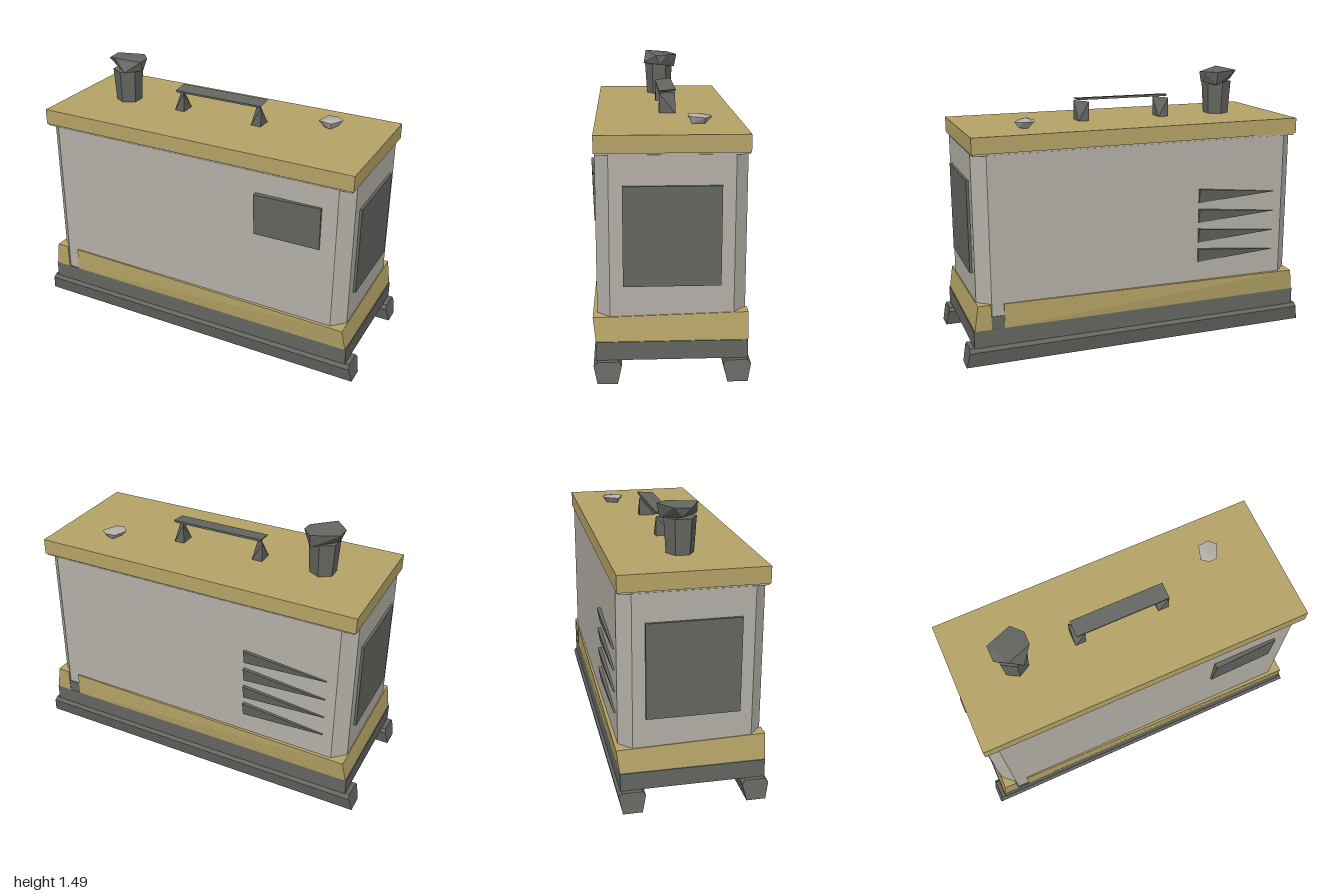
import * as THREE from 'three';
import { ConvexGeometry } from 'three/addons/geometries/ConvexGeometry.js';

const material = (name, color) => {
  const m = new THREE.MeshStandardMaterial({ color });
  m.name = name;
  return m;
};

export function createModel() {
  const grey = material('lightGrey', 0xb4b0a8);
  const gold = material('ochre', 0xb5a366);
  const dark = material('darkGrey', 0x646661);
  const model = new THREE.Group();

  const add = (name, geometry, mat, parent = model) => {
    const mesh = new THREE.Mesh(geometry, mat);
    mesh.name = name;
    parent.add(mesh);
    return mesh;
  };
  // Box from its minimum and maximum corners
  const box = (name, mat, a, b) => {
    const mesh = add(name, new THREE.BoxGeometry(b[0] - a[0], b[1] - a[1], b[2] - a[2]), mat);
    mesh.position.set((a[0] + b[0]) / 2, (a[1] + b[1]) / 2, (a[2] + b[2]) / 2);
    return mesh;
  };
  // Faceted solid around a few corner points
  const hull = (name, mat, points, parent) =>
    add(name, new ConvexGeometry(points.map((p) => new THREE.Vector3(...p))), mat, parent);

  // Skids: hexagonal bars with raked ends
  const skidSection = [[0.37, 0], [0.27, 0], [0.25, 0.085], [0.265, 0.105], [0.37, 0.105], [0.388, 0.085]];
  for (const s of [1, -1]) {
    const points = [];
    for (const [z, y] of skidSection)
      for (const e of [1, -1]) points.push([e * (1 - y * 0.2), y, s * z]);
    hull(s > 0 ? 'frontSkid' : 'backSkid', dark, points);
  }

  // Base slab
  box('base', dark, [-0.955, 0.105, -0.375], [0.955, 0.2, 0.375]);

  // Housing with chamfered upright corners
  const outline = [[0.925, 0.305], [0.855, 0.37], [-0.855, 0.37], [-0.925, 0.305],
    [-0.925, -0.305], [-0.855, -0.37], [0.855, -0.37], [0.925, -0.305]];
  const shape = new THREE.Shape(outline.map(([x, z]) => new THREE.Vector2(x, z)));
  const housing = new THREE.ExtrudeGeometry(shape, { depth: 0.93, bevelEnabled: false });
  housing.rotateX(-Math.PI / 2);
  add('housing', housing, grey).position.y = 0.2;
  box('housingLip', grey, [-0.922, 1.128, -0.368], [0.922, 1.14, 0.368]);

  // Lid
  box('lid', gold, [-0.93, 1.138, -0.375], [0.93, 1.225, 0.375]);

  // Skirt: a long wall and an end wall, repeated by a half turn
  for (const turn of [0, Math.PI]) {
    const skirt = new THREE.Group();
    skirt.name = turn ? 'backSkirt' : 'frontSkirt';
    skirt.rotation.y = turn;
    hull('longSkirt', gold, [
      [-0.79, 0.2, 0.376], [0.95, 0.2, 0.376], [0.93, 0.32, 0.39], [-0.79, 0.335, 0.377],
      [-0.79, 0.2, 0.34], [0.93, 0.2, 0.34], [0.93, 0.32, 0.34], [-0.79, 0.335, 0.34],
    ], skirt);
    hull('endSkirt', gold, [
      [0.95, 0.2, 0.376], [0.95, 0.2, -0.376], [0.93, 0.32, 0.39], [0.93, 0.338, -0.378],
      [0.86, 0.2, 0.376], [0.86, 0.2, -0.376], [0.86, 0.32, 0.386], [0.86, 0.338, -0.378],
    ], skirt);
    model.add(skirt);
  }
  box('skirtGapPlate', dark, [0.78, 0.2, -0.374], [0.87, 0.27, -0.366]);

  // End grilles
  for (const s of [1, -1]) {
    const grille = box(s > 0 ? 'leftGrille' : 'rightGrille', dark, [-0.008, 0.48, -0.24], [0.008, 0.98, 0.24]);
    grille.position.x = s * 0.931;
  }

  // Control panel, leaning out at one corner
  hull('controlPanel', dark, [
    [0.4, 1.01, 0.4], [0.77, 1.01, 0.383], [0.77, 0.77, 0.377], [0.4, 0.77, 0.383],
    [0.4, 1.01, 0.369], [0.77, 1.01, 0.369], [0.77, 0.77, 0.369], [0.4, 0.77, 0.369],
  ]);

  // Tapered vents on the back
  for (let i = 0; i < 4; i++) {
    const y = 0.82 - i * 0.115;
    hull('vent', dark, [
      [-0.33, y + 0.04, -0.369], [-0.33, y - 0.04, -0.369], [-0.8, y - 0.01, -0.369],
      [-0.33, y + 0.04, -0.39], [-0.33, y - 0.04, -0.376], [-0.8, y - 0.01, -0.38],
    ]);
  }

  // Exhaust stack and its tilted cap
  const stack = new THREE.CylinderGeometry(0.085, 0.073, 0.185, 6).toNonIndexed();
  stack.computeVertexNormals();
  add('exhaustStack', stack, dark).position.set(-0.605, 1.3175, 0);
  hull('exhaustCap', dark, [
    [-0.705, 1.475, -0.055], [-0.56, 1.47, -0.11], [-0.505, 1.47, -0.05],
    [-0.505, 1.465, 0.02], [-0.64, 1.49, 0.08], [-0.705, 1.47, 0.035],
    [-0.57, 1.415, 0.095], [-0.69, 1.42, -0.01], [-0.56, 1.395, -0.095], [-0.505, 1.41, 0],
  ]);

  // Carrying handle: wedge legs ending in a diagonal ridge, and a flat bar
  for (const x of [-0.245, 0.235])
    hull('handleLeg', dark, [
      [x - 0.03, 1.222, 0.035], [x + 0.03, 1.222, 0.035], [x - 0.03, 1.222, -0.055], [x + 0.03, 1.222, -0.055],
      [x - 0.03, 1.332, -0.055], [x + 0.03, 1.332, 0.035],
    ]);
  hull('handleBar', dark, [
    [-0.26, 1.335, 0.036], [0.255, 1.335, 0.036], [-0.26, 1.342, -0.055], [0.255, 1.342, -0.055],
    [-0.265, 1.345, 0.036], [0.265, 1.345, 0.036], [-0.265, 1.354, -0.055], [0.265, 1.354, -0.055],
  ]);

  // Filler cap: small faceted bowl
  hull('fillerCap', grey, [
    [0.535, 1.258, -0.13], [0.56, 1.262, -0.21], [0.62, 1.262, -0.217], [0.66, 1.26, -0.18],
    [0.62, 1.262, -0.1], [0.57, 1.268, -0.095], [0.585, 1.274, -0.13],
    [0.57, 1.224, -0.13], [0.59, 1.224, -0.19], [0.635, 1.228, -0.18], [0.61, 1.224, -0.115],
  ]);

  return model;
}
